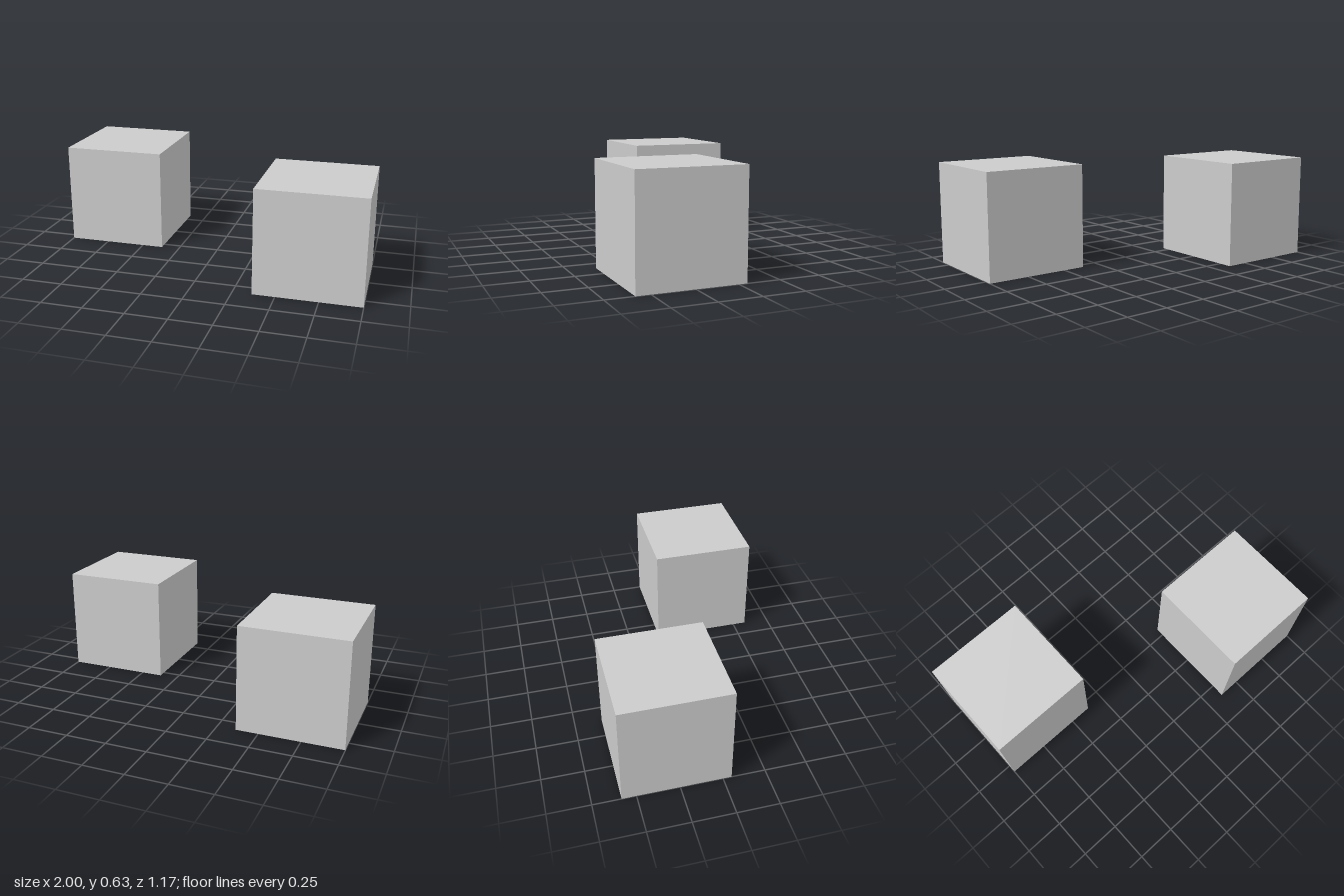
import * as THREE from 'three';

const SIZE = 0.635;

export function createModel() {
  const model = new THREE.Group();
  model.name = 'cubePair';
  const material = new THREE.MeshStandardMaterial({ color: 0xcccccc });
  const geometry = new THREE.BoxGeometry(SIZE, SIZE, SIZE);

  // Two equal cubes, placed diagonally opposite each other
  for (const [name, side] of [['leftCube', 1], ['rightCube', -1]]) {
    const cube = new THREE.Mesh(geometry, material);
    cube.name = name;
    cube.position.set(side * (1 - SIZE / 2), SIZE / 2, side * 0.267);
    model.add(cube);
  }
  return model;
}
